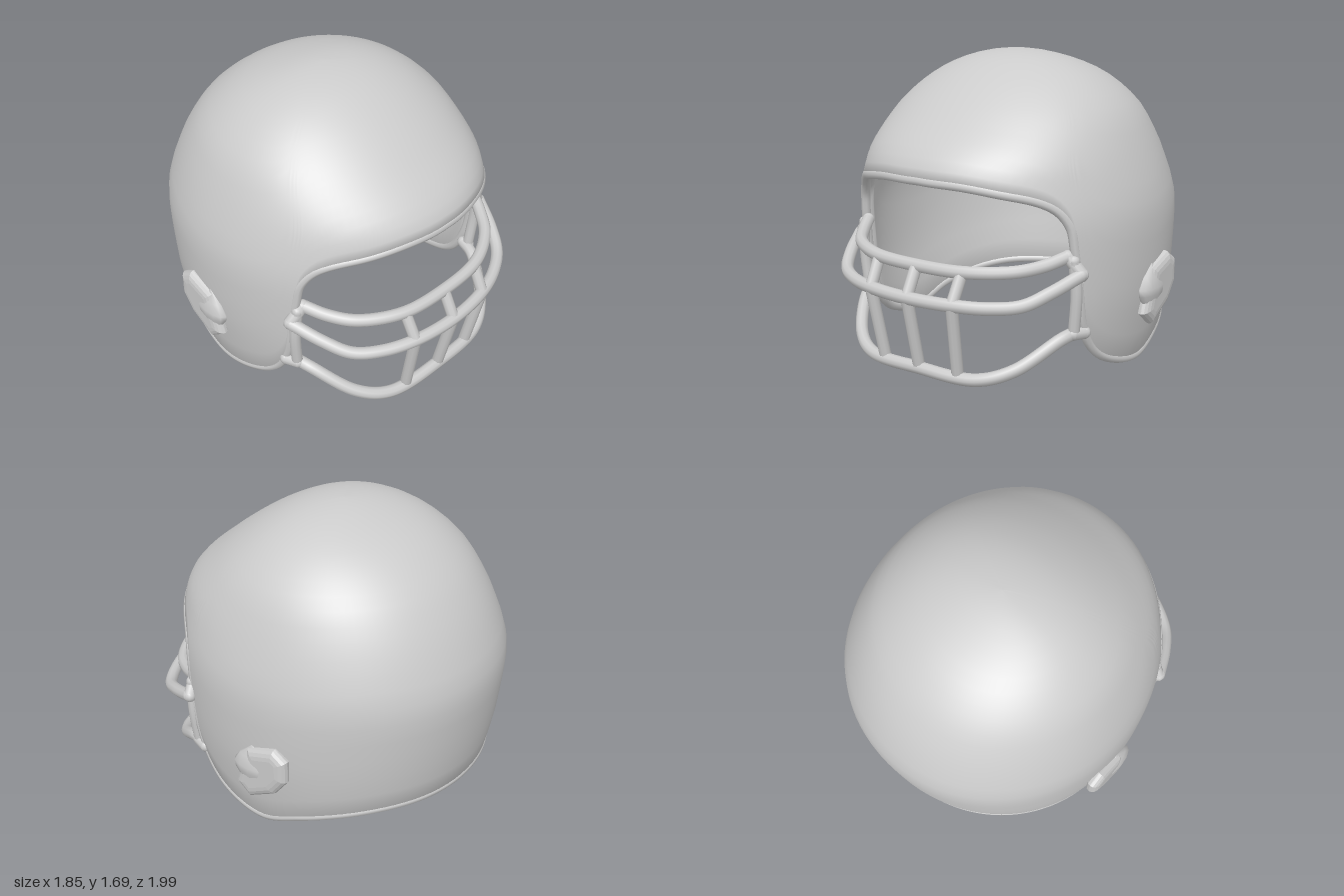
import * as THREE from 'three';

const V = (x, y, z) => new THREE.Vector3(x, y, z);
const material = new THREE.MeshStandardMaterial({ color: 0xcccccc, side: THREE.DoubleSide });

const TOP = 1.69, HMAX = 1.3, ZC = -0.05;

// Shell half-width, front z and back z, evenly spaced in h = sqrt(TOP - y)
const profile = new THREE.CatmullRomCurve3([
  V(0, -0.05, -0.05), V(0.265, 0.17, -0.26), V(0.50, 0.385, -0.53), V(0.685, 0.62, -0.745),
  V(0.80, 0.86, -0.90), V(0.88, 0.90, -0.99), V(0.872, 0.90, -0.952), V(0.80, 0.85, -0.86),
]);

// Lower edge of the shell: angle from the front (in hundreds of degrees), height
const edge = new THREE.CatmullRomCurve3([
  [0, 1.09], [0.18, 1.08], [0.33, 1.045], [0.435, 1.01], [0.503, 0.96], [0.547, 0.87], [0.565, 0.73],
  [0.58, 0.58], [0.61, 0.31], [0.665, 0.16], [0.745, 0.08], [0.9, 0.028], [1.07, 0.11],
  [1.22, 0.17], [1.39, 0.21], [1.6, 0.22], [1.8, 0.22],
].map(([a, y]) => V(a, y, 0)));

// Slightly squared sine or cosine, for a fuller outline than an ellipse
const fuller = (v) => Math.sign(v) * Math.abs(v) ** 0.975;

// Point on the dome; k below 1 gives the inner wall
function domePoint(angle, h, k = 1) {
  const p = profile.getPoint(Math.min(h / HMAX, 1));
  const c = fuller(Math.cos(angle)), s = fuller(Math.sin(angle));
  const y = TOP - h * h;
  const depth = c > 0 ? p.y - ZC : ZC - p.z;
  return V(p.x * s * k, y > 0.6 ? 0.6 + (y - 0.6) * k : y, ZC + depth * c * k);
}

// Edge samples all the way round, mirrored left to right
function edgeLoop() {
  const half = edge.getSpacedPoints(64).map((p) => ({
    angle: THREE.MathUtils.degToRad(p.x * 100),
    h: Math.sqrt(TOP - p.y),
  }));
  const other = half.slice(1, -1).reverse().map((e) => ({ angle: Math.PI * 2 - e.angle, h: e.h }));
  return [...half, ...other];
}

// Double-walled shell: inner crown down to the lip, then outer wall back up
function shellGeometry(loop) {
  const rows = [], STEPS = 22;
  for (let j = 0; j <= STEPS; j++) rows.push([j / STEPS, j === STEPS ? 0.955 : 0.932]);
  for (let j = STEPS; j >= 0; j--) rows.push([j / STEPS, 1]);
  const positions = [], index = [], n = loop.length;
  for (const [t, k] of rows)
    for (const e of loop) positions.push(...domePoint(e.angle, t * e.h, k).toArray());
  for (let j = 0; j < rows.length - 1; j++)
    for (let i = 0; i < n; i++) {
      const a = j * n + i, b = j * n + (i + 1) % n;
      index.push(a, b, b + n, a, b + n, a + n);
    }
  const g = new THREE.BufferGeometry();
  g.setAttribute('position', new THREE.Float32BufferAttribute(positions, 3));
  g.setIndex(index);
  g.computeVertexNormals();
  return g;
}

function add(parent, name, geometry) {
  const mesh = new THREE.Mesh(geometry, material);
  mesh.name = name;
  parent.add(mesh);
  return mesh;
}

// Round bar through points, with rounded ends
function bar(parent, name, points, radius = 0.035) {
  const group = new THREE.Group();
  group.name = name;
  const curve = new THREE.CatmullRomCurve3(points);
  add(group, name + 'Tube', new THREE.TubeGeometry(curve, 12 * points.length, radius, 10));
  for (const p of [points[0], points[points.length - 1]])
    add(group, name + 'End', new THREE.SphereGeometry(radius, 10, 8)).position.copy(p);
  parent.add(group);
}

// Completes a half path (outer end to centre) with its mirror image
const mirrored = (half) => [...half, ...half.slice(0, -1).reverse().map((p) => V(-p.x, p.y, p.z))];

// Ear boss: a softly bevelled plate with a pointed leaf at its front
function earBoss(side) {
  const boss = new THREE.Group();
  boss.name = side > 0 ? 'leftEarBoss' : 'rightEarBoss';
  const outline = [[-0.03, 0.32], [-0.06, 0.295], [-0.18, 0.36], [-0.24, 0.44], [-0.24, 0.52], [-0.21, 0.54], [-0.09, 0.5]]
    .map(([z, y]) => new THREE.Vector2(-side * z, y));
  const plate = add(boss, 'earPlate', new THREE.ExtrudeGeometry(new THREE.Shape(outline), {
    depth: 0.005, bevelThickness: 0.04, bevelSize: 0.06, bevelSegments: 4,
  }));
  plate.rotation.y = side * Math.PI / 2;
  plate.position.x = side * 0.87;
  const leaf = add(boss, 'earLeaf', new THREE.LatheGeometry(
    [[0, -1], [0.5, -0.6], [0.9, -0.1], [0.95, 0.15], [0.65, 0.55], [0, 1]]
      .map(([r, y]) => new THREE.Vector2(r, y)), 12));
  leaf.scale.set(0.052, 0.155, 0.13);
  leaf.position.set(side * 0.876, 0.415, -0.065);
  return boss;
}

export function createModel() {
  const model = new THREE.Group();
  model.name = 'helmet';

  // Shell and rolled rim
  const loop = edgeLoop();
  add(model, 'shell', shellGeometry(loop));
  const rimPath = new THREE.CatmullRomCurve3(loop.map((e) => domePoint(e.angle, e.h, 0.977)), true);
  add(model, 'rim', new THREE.TubeGeometry(rimPath, 256, 0.027, 8, true));

  model.add(earBoss(1), earBoss(-1));

  // Face cage
  const cage = new THREE.Group();
  cage.name = 'faceCage';
  bar(cage, 'upperBar', mirrored([
    V(0.69, 0.70, 0.49), V(0.62, 0.665, 0.61), V(0.52, 0.645, 0.73), V(0.3, 0.635, 0.85), V(0, 0.632, 0.88)]));
  bar(cage, 'middleBar', mirrored([
    V(0.765, 0.61, 0.48), V(0.69, 0.545, 0.64), V(0.6, 0.49, 0.77), V(0.46, 0.475, 0.865),
    V(0.27, 0.475, 0.935), V(0, 0.475, 0.965)]));
  bar(cage, 'lowerBar', mirrored([
    V(0.71, 0.28, 0.43), V(0.68, 0.26, 0.53), V(0.53, 0.12, 0.74), V(0.36, 0.062, 0.84), V(0, 0.062, 0.875)]));
  for (const x of [-1, 0, 1]) {
    const back = Math.abs(x) * 0.028;
    const top = V(x * 0.28, 0.632, 0.88 - back), mid = V(x * 0.275, 0.475, 0.962 - back);
    bar(cage, 'upperUpright', [top, mid], 0.033);
    bar(cage, 'lowerUpright', [mid, V(x * 0.25, 0.07, 0.872 - back * 0.5)], 0.033);
  }
  for (const s of [1, -1]) {
    bar(cage, 'sidePost', [V(s * 0.725, 0.68, 0.485), V(s * 0.735, 0.5, 0.475), V(s * 0.715, 0.28, 0.465)], 0.032);
    bar(cage, 'upperMount', [V(s * 0.69, 0.70, 0.49), V(s * 0.765, 0.61, 0.47)], 0.036);
    bar(cage, 'lowerMount', [V(s * 0.715, 0.28, 0.47), V(s * 0.74, 0.275, 0.40)], 0.035);
  }
  model.add(cage);
  return model;
}
